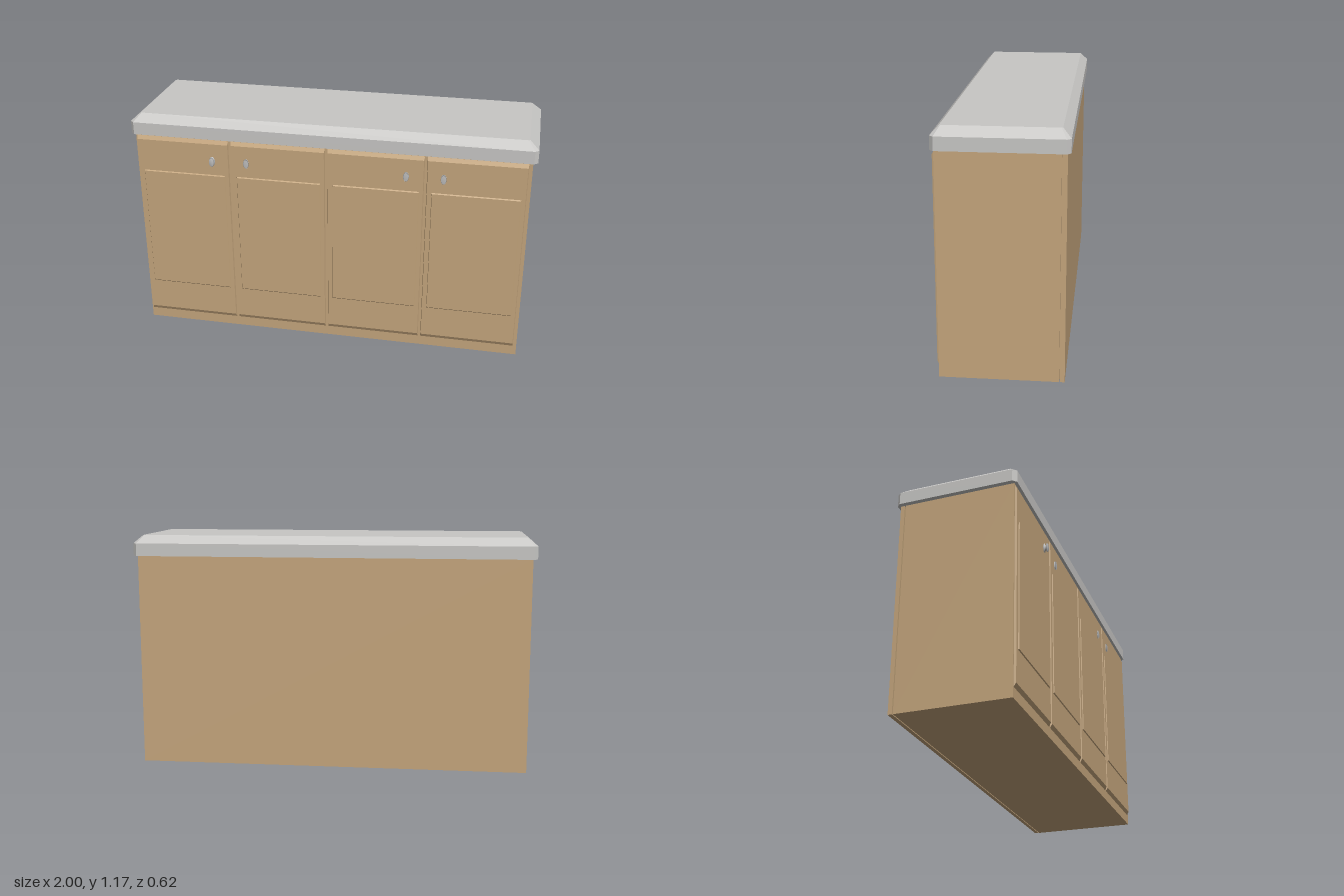
import * as THREE from 'three';

const wood = new THREE.MeshStandardMaterial({ color: 0xc4a57c });
wood.name = 'wood';
const stone = new THREE.MeshStandardMaterial({ color: 0xc7c6c4 });
stone.name = 'pale stone';
const metal = new THREE.MeshStandardMaterial({ color: 0xbcbcbc });
metal.name = 'knob metal';

function add(parent, name, geometry, material, x = 0, y = 0, z = 0) {
  const mesh = new THREE.Mesh(geometry, material);
  mesh.name = name;
  mesh.position.set(x, y, z);
  parent.add(mesh);
  return mesh;
}

// Box between two corners
function slab(parent, name, material, [x0, y0, z0], [x1, y1, z1]) {
  const g = new THREE.BoxGeometry(x1 - x0, y1 - y0, z1 - z0);
  return add(parent, name, g, material, (x0 + x1) / 2, (y0 + y1) / 2, (z0 + z1) / 2);
}

// Box whose front face is drawn in to leave sloping edges
function bevelledSlab(parent, name, material, from, to, insetX, insetY) {
  const mesh = slab(parent, name, material, from, to);
  const p = mesh.geometry.attributes.position;
  for (let i = 0; i < p.count; i++) {
    if (p.getZ(i) <= 0) continue;
    p.setX(i, p.getX(i) - Math.sign(p.getX(i)) * insetX);
    p.setY(i, p.getY(i) - Math.sign(p.getY(i)) * insetY);
  }
  mesh.geometry.computeVertexNormals();
  return mesh;
}

// Countertop: cut-corner rings stacked from the underside to the flat top
function countertopGeometry() {
  const ring = (hx, hz, c, y) => [
    [hx, hz - c], [hx - c, hz], [-hx + c, hz], [-hx, hz - c],
    [-hx, -hz + c], [-hx + c, -hz], [hx - c, -hz], [hx, -hz + c],
  ].map(([x, z]) => [x, y, z]);
  const rings = [
    ring(1, 0.3, 0.018, 1.065),
    ring(1, 0.3, 0.018, 1.128),
    ring(0.955, 0.262, 0.006, 1.168),
  ];
  const pos = [];
  const tri = (a, b, c) => pos.push(...a, ...b, ...c);
  for (let r = 0; r < 2; r++) {
    for (let i = 0; i < 8; i++) {
      const j = (i + 1) % 8;
      const [a, b, c, d] = [rings[r][i], rings[r][j], rings[r + 1][j], rings[r + 1][i]];
      tri(a, c, b);
      tri(a, d, c);
    }
  }
  for (let i = 1; i < 7; i++) {
    tri(rings[2][0], rings[2][i + 1], rings[2][i]);
    tri(rings[0][0], rings[0][i], rings[0][i + 1]);
  }
  const g = new THREE.BufferGeometry();
  g.setAttribute('position', new THREE.Float32BufferAttribute(pos, 3));
  g.computeVertexNormals();
  return g;
}

// Narrow-waisted knob, turned along z and squeezed to an oval
function knobGeometry(depth) {
  const profile = [[0, 0], [0.022, 0], [0.025, 0.25], [0.01, 0.5], [0.025, 0.75], [0.021, 1], [0, 1]]
    .map(([r, t]) => new THREE.Vector2(r, t * depth));
  return new THREE.LatheGeometry(profile, 16).rotateX(Math.PI / 2).scale(0.56, 1, 1);
}

export function createModel() {
  const model = new THREE.Group();
  model.name = 'sideboard';

  // Carcass, with a fine seam in front of the back board
  slab(model, 'carcass', wood, [-0.978, 0, -0.27], [0.978, 1.066, 0.275]);
  slab(model, 'backSpacer', wood, [-0.96, 0.005, -0.28], [0.96, 1.066, -0.265]);
  slab(model, 'backBoard', wood, [-0.978, 0, -0.295], [0.978, 1.066, -0.275]);

  // Four doors, each with a slightly raised panel and a knob
  const doors = [
    { left: -0.972, right: -0.499, knob: -0.583, reach: 0.306 },
    { left: -0.488, right: -0.013, knob: -0.41, reach: 0.292 },
    { left: -0.002, right: 0.474, knob: 0.386, reach: 0.292 },
    { left: 0.485, right: 0.962, knob: 0.567, reach: 0.292 },
  ];
  for (const { left, right, knob, reach } of doors) {
    const door = new THREE.Group();
    door.name = 'door';
    bevelledSlab(door, 'doorBoard', wood, [left, 0.045, 0.272], [right, 1.064, 0.285], 0.004, 0.025);
    bevelledSlab(door, 'raisedPanel', wood,
      [left + 0.026, 0.23, 0.284], [right - 0.022, 0.876, 0.289], 0.003, 0.006);
    add(door, 'knob', knobGeometry(reach - 0.283), metal, knob, 0.95, 0.283);
    model.add(door);
  }

  // Countertop overhanging all round
  add(model, 'countertop', countertopGeometry(), stone, 0, 0, -0.01);
  return model;
}
